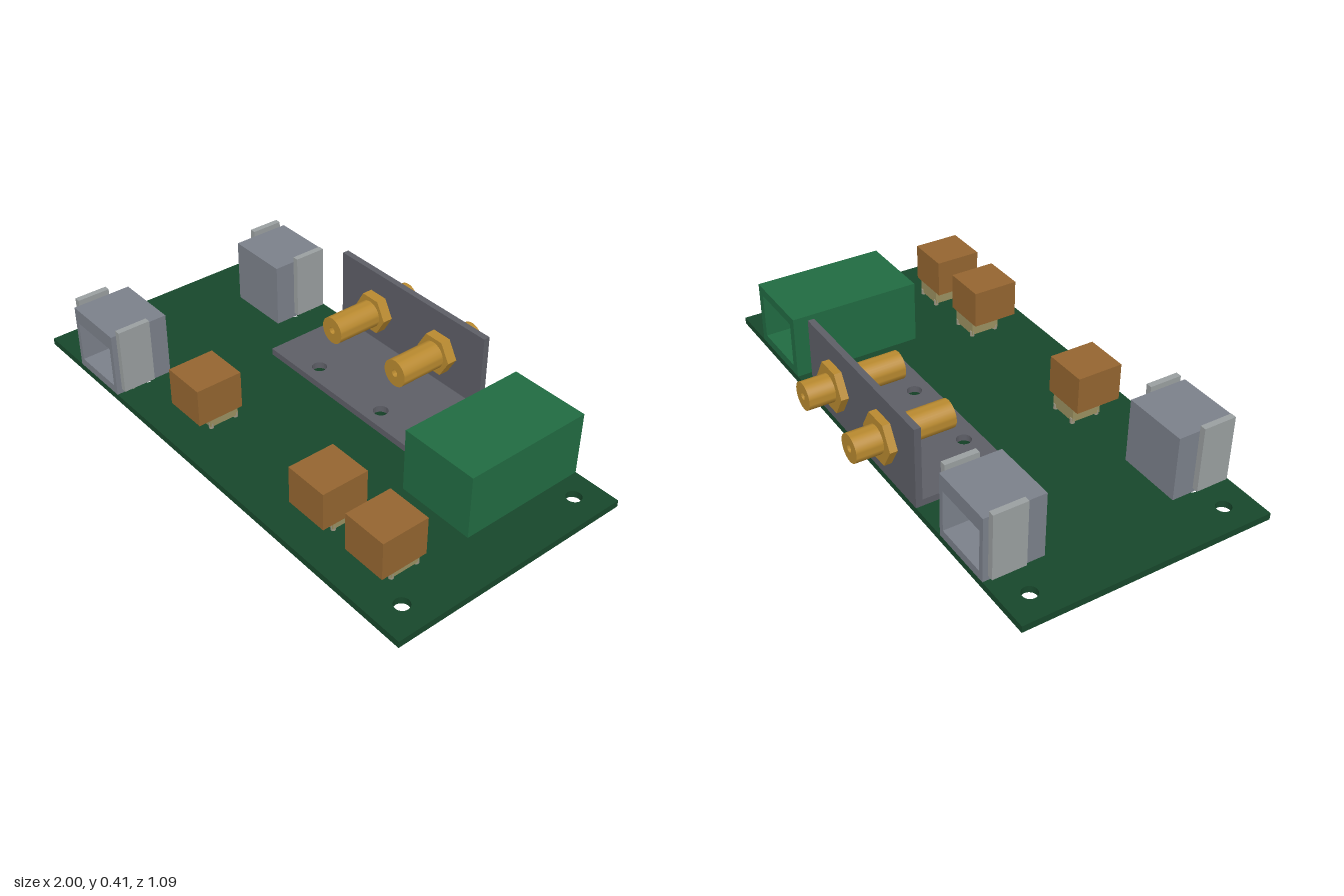
import * as THREE from 'three';
import { toCreasedNormals } from 'three/addons/utils/BufferGeometryUtils.js';

const mat = (color) => new THREE.MeshStandardMaterial({ color });
const BOARD = mat(0x17472b), GREEN = mat(0x216b42), STEEL = mat(0x5d5e66), SHELL = mat(0x7b808a),
  TAB = mat(0x9a9fa0), BRASS = mat(0xb8892f), COPPER = mat(0x946530), TAN = mat(0x9a9060), PIN = mat(0x9a9480);
const Y0 = 0.062, Y1 = 0.088; // board underside and top

function add(parent, name, geometry, material) {
  const mesh = new THREE.Mesh(geometry, material);
  mesh.name = name;
  parent.add(mesh);
  return mesh;
}

// Box given by its limits on each axis
function box(parent, name, material, [x0, x1], [y0, y1], [z0, z1]) {
  const g = new THREE.BoxGeometry(x1 - x0, y1 - y0, z1 - z0);
  g.translate((x0 + x1) / 2, (y0 + y1) / 2, (z0 + z1) / 2);
  return add(parent, name, g, material);
}

function rect(Type, x0, x1, y0, y1) {
  return new Type([[x0, y0], [x1, y0], [x1, y1], [x0, y1]].map((p) => new THREE.Vector2(...p)));
}

function circle(x, y, r) {
  return new THREE.Path().absarc(x, y, r, 0, Math.PI * 2, true);
}

// Extruded outline with holes
function slab(shape, holes, depth) {
  shape.holes.push(...holes);
  const g = new THREE.ExtrudeGeometry(shape, { depth, bevelEnabled: false, curveSegments: 20 });
  return toCreasedNormals(g, 0.6);
}

// Flat horizontal plate with round holes [x, z, r]
function plate(parent, name, material, xs, [y0, y1], [z0, z1], holes) {
  const shape = rect(THREE.Shape, xs[0], xs[1], -z1, -z0);
  const g = slab(shape, holes.map(([x, z, r]) => circle(x, -z, r)), y1 - y0);
  g.rotateX(-Math.PI / 2).translate(0, y0, 0);
  return add(parent, name, g, material);
}

// Housing with a rectangular pocket in its +z face
function pocketBox(parent, name, material, [x0, x1], [y0, y1], [z0, z1], [hx0, hx1], [hy0, hy1], depth) {
  const frame = slab(rect(THREE.Shape, x0, x1, y0, y1), [rect(THREE.Path, hx0, hx1, hy0, hy1)], depth);
  frame.translate(0, 0, z1 - depth);
  add(parent, name + 'Frame', frame, material);
  box(parent, name + 'Rear', material, [x0, x1], [y0, y1], [z0, z1 - depth]);
}

// Network socket, opening to its local +z; the origin is at the middle of its opening face
function socket(name) {
  const g = new THREE.Group();
  g.name = name;
  pocketBox(g, 'socketShell', SHELL, [-0.126, 0.126], [Y1, 0.339], [-0.229, 0],
    [-0.107, 0.107], [0.12, 0.28], 0.15);
  for (const s of [-1, 1]) {
    const xs = [s * 0.126, s * 0.149].sort((a, b) => a - b);
    box(g, 'sideTab', TAB, xs, [0.105, 0.36], [-0.147, -0.02]);
    box(g, 'shieldPin', PIN, [s * 0.127 - 0.004, s * 0.127 + 0.004], [0.033, Y1], [-0.071, -0.063]);
  }
  // Two staggered rows of signal pins
  for (let i = 0; i < 8; i++) {
    const x = (i - 3.5) * 0.0175, z = i % 2 ? -0.178 : -0.111;
    box(g, 'signalPin', PIN, [x - 0.0035, x + 0.0035], [0.033, Y1], [z - 0.0035, z + 0.0035]);
  }
  return g;
}

// Copper cube on a small base with four round legs
function cubeConnector(x) {
  const g = new THREE.Group();
  g.name = 'cubeConnector';
  box(g, 'cubeBody', COPPER, [-0.086, 0.086], [0.149, 0.295], [0.281, 0.462]);
  box(g, 'cubeBase', TAN, [-0.06, 0.06], [0.097, 0.149], [0.283, 0.4]);
  for (const px of [-0.051, 0.051]) for (const pz of [0.288, 0.392]) {
    const leg = add(g, 'leg', new THREE.CylinderGeometry(0.0095, 0.0095, 0.065, 14), PIN);
    leg.position.set(px, 0.0775, pz);
  }
  g.position.x = x;
  return g;
}

function hexNut(parent, name, r, z0, z1) {
  const pts = Array.from({ length: 6 }, (_, i) =>
    new THREE.Vector2(r * Math.cos(i * Math.PI / 3), r * Math.sin(i * Math.PI / 3)));
  const g = slab(new THREE.Shape(pts), [circle(0, 0, 0.05)], z1 - z0);
  g.translate(0, 0, z0);
  add(parent, name, g, BRASS);
}

// Hollow coaxial barrel clamped by a nut on each side of the bracket wall
function coaxConnector(x) {
  const g = new THREE.Group();
  g.name = 'coaxConnector';
  const profile = [[0.014, -0.17], [0.053, -0.17], [0.053, -0.547], [0.014, -0.547], [0.014, -0.17]]
    .map(([r, h]) => new THREE.Vector2(r, h)).reverse();
  const barrel = toCreasedNormals(new THREE.LatheGeometry(profile, 36), 0.6);
  barrel.rotateX(Math.PI / 2);
  add(g, 'barrel', barrel, BRASS);
  hexNut(g, 'outerNut', 0.094, -0.447, -0.418);
  hexNut(g, 'innerNut', 0.08, -0.393, -0.353);
  g.position.set(x, 0.25, 0);
  return g;
}

export function createModel() {
  const model = new THREE.Group();
  model.name = 'circuitBoardAssembly';
  const coaxX = [-0.175, 0.17];
  const bracketHoles = coaxX.map((x) => [x, -0.11, 0.028]);

  // Circuit board with mounting holes
  const holes = [...bracketHoles];
  for (const x of [-0.895, 0.895]) for (const z of [-0.32, 0.44]) holes.push([x, z, 0.028]);
  for (const x of [-0.765, -0.55]) for (const z of [-0.283, 0.412]) holes.push([x, z, 0.025]);
  plate(model, 'circuitBoard', BOARD, [-1, 1], [Y0, Y1], [-0.418, 0.547], holes);

  // L-shaped bracket with the coaxial connectors
  const bracket = new THREE.Group();
  bracket.name = 'bracket';
  model.add(bracket);
  plate(bracket, 'bracketFoot', STEEL, [-0.38, 0.375], [Y1, 0.114], [-0.393, -0.045], bracketHoles);
  const wall = slab(rect(THREE.Shape, -0.38, 0.375, Y1, 0.405), coaxX.map((x) => circle(x, 0.25, 0.05)), 0.025);
  wall.translate(0, 0, -0.418);
  add(bracket, 'bracketWall', wall, STEEL);
  coaxX.forEach((x) => model.add(coaxConnector(x)));

  // Network sockets on the front and back edges
  const front = socket('frontSocket');
  front.position.set(-0.658, 0, 0.547);
  const back = socket('backSocket');
  back.position.set(-0.658, 0, -0.418);
  back.rotation.y = Math.PI;
  model.add(front, back);

  // Copper cube connectors
  [-0.211, 0.463, 0.741].forEach((x) => model.add(cubeConnector(x)));

  // Green terminal housing, open to the back
  const terminal = new THREE.Group();
  terminal.name = 'terminalHousing';
  pocketBox(terminal, 'terminal', GREEN, [-0.153, 0.153], [Y1, 0.335], [-0.506, 0],
    [-0.12, 0.12], [0.122, 0.3], 0.24);
  terminal.position.set(0.662, 0, -0.418);
  terminal.rotation.y = Math.PI;
  model.add(terminal);
  for (const x of [0.595, 0.727]) for (const z of [0.055, -0.03, -0.075]) {
    box(model, 'terminalPin', PIN, [x - 0.006, x + 0.006], [0, Y1], [z - 0.008, z + 0.008]);
  }
  return model;
}
